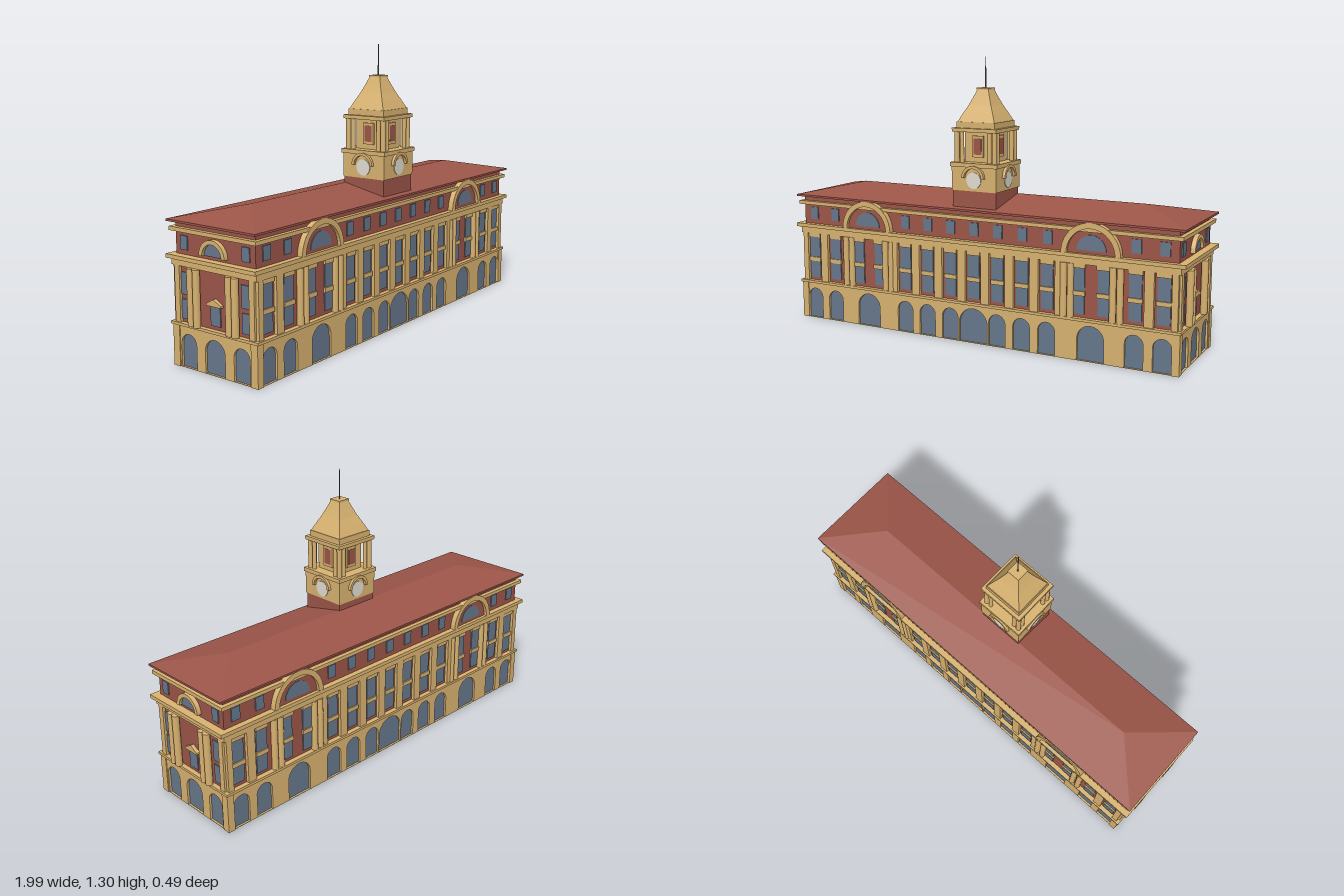
import * as THREE from 'three';

const mat = (name, color) => {
  const m = new THREE.MeshStandardMaterial({ color });
  m.name = name;
  return m;
};

export function createModel() {
  const stone = mat('stone', 0xd8b270);
  const brick = mat('brick', 0x9c5548);
  const glass = mat('glass', 0x66778b);
  const dial = mat('dial', 0xe0dcd3);
  const iron = mat('iron', 0x6c6d71);

  const model = new THREE.Group();
  model.name = 'stationBuilding';

  const add = (parent, name, geo, material, x = 0, y = 0, z = 0) => {
    const m = new THREE.Mesh(geo, material);
    m.name = name;
    m.position.set(x, y, z);
    parent.add(m);
    return m;
  };
  // box given by its centre x, bottom and top y, centre z, width and depth
  const box = (parent, name, material, x, y0, y1, z, w, d) =>
    add(parent, name, new THREE.BoxGeometry(w, y1 - y0, d), material, x, (y0 + y1) / 2, z);
  const column = (parent, name, x, y0, y1, z, r) =>
    add(parent, name, new THREE.CylinderGeometry(r, r, y1 - y0, 12), stone, x, (y0 + y1) / 2, z);
  const extrude = (shape, depth) =>
    new THREE.ExtrudeGeometry(shape, { depth, bevelEnabled: false, curveSegments: 10 });

  // round-headed opening outline
  const archPath = (P, x, half, top) => {
    const p = new P();
    p.moveTo(x - half, 0.002);
    p.lineTo(x + half, 0.002);
    p.lineTo(x + half, top - half);
    p.absarc(x, top - half, half, 0, Math.PI, false);
    p.closePath();
    return p;
  };
  const halfRing = (R, r) => {
    const s = new THREE.Shape();
    s.absarc(0, 0, R, 0, Math.PI, false);
    s.absarc(0, 0, r, Math.PI, 0, true);
    s.closePath();
    return s;
  };
  const halfDisc = (r) => {
    const s = new THREE.Shape();
    s.absarc(0, 0, r, 0, Math.PI, false);
    s.closePath();
    return s;
  };
  const rectPath = (P, hx, hy) =>
    new P([[-hx, -hy], [hx, -hy], [hx, hy], [-hx, hy]].map(([x, y]) => new THREE.Vector2(x, y)));

  // half length and half depth of the hollow brick shell
  const HX = 0.96, HZ = 0.218;

  // horizontal courses running round the outside of the shell
  const course = (name, y0, y1, hx, hz) => {
    const frame = rectPath(THREE.Shape, hx, hz);
    frame.holes.push(rectPath(THREE.Path, HX - 0.004, HZ - 0.004));
    add(model, name, extrude(frame, y1 - y0).rotateX(-Math.PI / 2), stone, 0, y0, 0);
  };
  course('floorBand', 0.179, 0.191, 0.981, 0.241);
  course('frieze', 0.43, 0.462, 0.974, 0.234);
  course('mainCornice', 0.46, 0.477, 0.995, 0.245);
  course('upperCornice', 0.573, 0.59, 0.98, 0.238);

  // ground floor wall with arched openings
  const arcade = (g, half, face, arches) => {
    const wall = new THREE.Shape();
    wall.moveTo(-half, 0);
    wall.lineTo(half, 0);
    wall.lineTo(half, 0.18);
    wall.lineTo(-half, 0.18);
    wall.closePath();
    for (const [x, h, top] of arches) {
      wall.holes.push(archPath(THREE.Path, x, h, top));
      add(g, 'archGlass', new THREE.ShapeGeometry(archPath(THREE.Shape, x, h, top), 10), glass, 0, 0, face + 0.002);
    }
    add(g, 'arcadeWall', extrude(wall, 0.012), stone, 0, 0, face);
    for (const s of [-1, 1]) box(g, 'cornerPier', stone, s * (half - 0.011), 0, 0.18, face + 0.008, 0.034, 0.016);
  };
  const wall = (g, half, face) => box(g, 'brickWall', brick, 0, 0, 0.615, face - 0.005, half * 2, 0.01);
  const pane = (g, x, y0, y1, w, face) => box(g, 'windowPane', glass, x, y0, y1, face + 0.002, w, 0.006);

  // long facade, facing local +z
  const longFacade = () => {
    const g = new THREE.Group();
    const f = HZ;
    const bays = [0, 0.122, 0.245, 0.368, 0.775, 0.9];
    const mirror = (list) => list.flatMap((x) => (x ? [x, -x] : [0]));
    wall(g, HX, f);
    arcade(g, 0.97, f, [
      [0, 0.073, 0.162],
      ...mirror(bays.slice(1)).map((x) => [x, 0.042, 0.15]),
      ...mirror([0.577]).map((x) => [x, 0.063, 0.16]),
    ]);
    for (const x of mirror([...bays, 0.515, 0.635])) {
      pane(g, x, 0.207, 0.29, 0.058, f);
      pane(g, x, 0.308, 0.412, 0.058, f);
      box(g, 'windowSill', stone, x, 0.289, 0.309, f + 0.005, 0.066, 0.012);
      box(g, 'windowHeader', stone, x, 0.411, 0.431, f + 0.005, 0.066, 0.012);
    }
    for (const x of mirror(bays)) pane(g, x, 0.5, 0.56, 0.044, f);
    for (const x of mirror([0.061, 0.184, 0.307, 0.43, 0.838, 0.95]))
      box(g, 'pilaster', stone, x, 0.19, 0.431, f + 0.007, x * x > 0.85 ? 0.028 : 0.042, 0.016);
    for (const x of mirror([0.675, 0.708, 0.447, 0.48])) column(g, 'facadeColumn', x, 0.19, 0.431, f + 0.008, 0.015);
    for (const x of [-0.577, 0.577]) {
      add(g, 'archSurround', extrude(halfRing(0.137, 0.112), 0.027), stone, x, 0.477, f - 0.001);
      add(g, 'archTympanum', extrude(halfDisc(0.113), 0.012), brick, x, 0.476, f - 0.001);
      add(g, 'lunetteGlass', extrude(halfDisc(0.068), 0.005), glass, x, 0.492, f + 0.009);
    }
    return g;
  };

  // short end facade, facing local +z
  const endFacade = () => {
    const g = new THREE.Group();
    const f = HX;
    wall(g, HZ, f);
    arcade(g, 0.226, f, [[-0.147, 0.043, 0.146], [0, 0.055, 0.15], [0.147, 0.043, 0.146]]);
    for (const s of [-1, 1]) {
      pane(g, s * 0.167, 0.207, 0.29, 0.046, f);
      pane(g, s * 0.167, 0.31, 0.404, 0.046, f);
      pane(g, s * 0.17, 0.497, 0.556, 0.04, f);
      box(g, 'endPilaster', stone, s * 0.205, 0.19, 0.431, f + 0.006, 0.028, 0.016);
      for (const x of [0.09, 0.122]) column(g, 'endColumn', s * x, 0.19, 0.431, f + 0.019, 0.016);
    }
    pane(g, 0, 0.207, 0.292, 0.054, f);
    const gable = new THREE.Shape([[-0.041, 0], [0.041, 0], [0.041, 0.008], [0, 0.03], [-0.041, 0.008]]
      .map(([x, y]) => new THREE.Vector2(x, y)));
    add(g, 'windowPediment', extrude(gable, 0.016), stone, 0, 0.291, f);
    add(g, 'endArchSurround', extrude(halfRing(0.071, 0.053), 0.02), stone, 0, 0.491, f);
    add(g, 'endLunetteGlass', extrude(halfDisc(0.054), 0.006), glass, 0, 0.491, f);
    return g;
  };
  for (let i = 0; i < 4; i++) {
    const g = i % 2 ? endFacade() : longFacade();
    g.name = ['frontFacade', 'leftFacade', 'backFacade', 'rightFacade'][i];
    g.rotation.y = (i * Math.PI) / 2;
    model.add(g);
  }

  // hipped roof: a box whose top corners are pulled in to the ridge
  box(model, 'roofEave', brick, 0, 0.612, 0.621, 0, 1.98, 0.486);
  const hip = new THREE.BoxGeometry(1.98, 0.052, 0.486).toNonIndexed();
  const p = hip.attributes.position;
  for (let i = 0; i < p.count; i++)
    if (p.getY(i) > 0) p.setXYZ(i, Math.sign(p.getX(i)) * 0.745, p.getY(i), 0);
  hip.computeVertexNormals();
  add(model, 'hippedRoof', hip, brick, 0, 0.647, 0);

  // clock tower
  const tower = new THREE.Group();
  tower.name = 'clockTower';
  tower.position.z = 0.105;
  model.add(tower);
  const tier = (name, material, y0, y1, half) => box(tower, name, material, 0, y0, y1, 0, half * 2, half * 2);
  tier('towerBase', brick, 0.616, 0.704, 0.11);
  tier('clockStage', stone, 0.703, 0.812, 0.114);
  tier('clockCornice', stone, 0.811, 0.83, 0.12);
  tier('belfryCore', stone, 0.82, 0.975, 0.07);
  tier('belfryCornice', stone, 0.968, 0.985, 0.113);
  tier('roofPlinth', stone, 0.984, 1.012, 0.097);
  for (let i = 0; i < 4; i++) {
    const side = new THREE.Group();
    side.name = 'towerSide';
    side.rotation.y = (i * Math.PI) / 2;
    tower.add(side);
    const face = add(side, 'clockFace', new THREE.CylinderGeometry(0.037, 0.037, 0.006, 24), dial, 0, 0.752, 0.114);
    face.rotation.x = Math.PI / 2;
    add(side, 'clockHood', extrude(halfRing(0.057, 0.044), 0.016), stone, 0, 0.762, 0.112);
    box(side, 'belfryFrame', stone, 0, 0.853, 0.95, 0.073, 0.058, 0.012);
    box(side, 'belfryPanel', brick, 0, 0.865, 0.938, 0.077, 0.04, 0.006);
    column(side, 'belfryCornerColumn', 0.096, 0.825, 0.97, 0.096, 0.012);
    for (const x of [-0.07, 0.07]) column(side, 'belfryColumn', x, 0.825, 0.97, 0.096, 0.01);
  }

  // flared four-sided tower roof with cap and spire
  const profile = [[0.094, 1.011], [0.076, 1.048], [0.057, 1.085], [0.041, 1.122], [0.027, 1.157]]
    .map(([h, y]) => new THREE.Vector2(h * Math.SQRT2, y));
  const towerRoof = new THREE.LatheGeometry(profile, 4, Math.PI / 4).toNonIndexed();
  towerRoof.computeVertexNormals();
  add(tower, 'towerRoof', towerRoof, stone);
  tier('towerCap', stone, 1.154, 1.162, 0.031);
  add(tower, 'spire', new THREE.CylinderGeometry(0.002, 0.003, 0.14, 8), iron, 0, 1.231, 0);

  return model;
}
